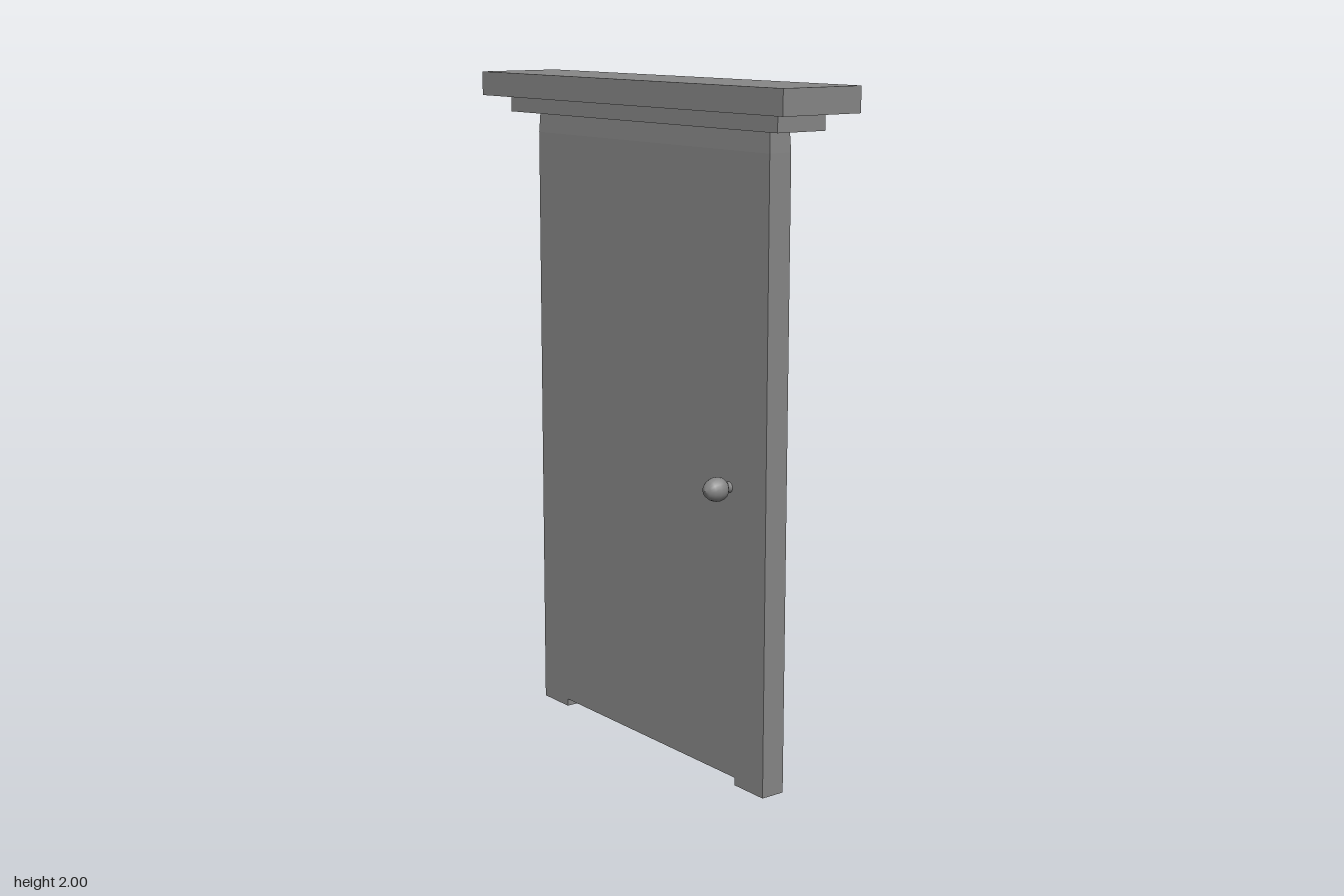
import * as THREE from 'three';

export function createModel() {
  const model = new THREE.Group();
  const darkGrey = new THREE.MeshStandardMaterial({ color: 0x878787 });

  const add = (name, geometry, x = 0, y = 0) => {
    const mesh = new THREE.Mesh(geometry, darkGrey);
    mesh.name = name;
    mesh.position.set(x, y, 0);
    model.add(mesh);
    return mesh;
  };
  // Box given by width, bottom, top and depth
  const slab = (name, width, bottom, top, depth, x = 0) =>
    add(name, new THREE.BoxGeometry(width, top - bottom, depth), x, (top + bottom) / 2);

  // Frame: two posts and a lintel that narrows slightly towards its top
  slab('leftPost', 0.126, 0, 1.82, 0.075, 0.484);
  slab('rightPost', 0.126, 0, 1.82, 0.075, -0.484);
  const lintel = slab('lintel', 1.094, 1.82, 1.88, 0.075).geometry;
  const corners = lintel.attributes.position;
  for (let i = 0; i < corners.count; i++) {
    if (corners.getY(i) > 0) {
      corners.setX(i, corners.getX(i) * 0.994);
      corners.setZ(i, corners.getZ(i) * 0.92);
    }
  }
  lintel.computeVertexNormals();

  // Door leaf, raised slightly off the ground
  slab('doorPanel', 0.842, 0.023, 1.82, 0.075);

  // Stepped cornice
  slab('lowerCornice', 1.262, 1.88, 1.928, 0.166);
  slab('upperCornice', 1.424, 1.928, 2, 0.27);

  // Turned knobs on both faces; profile is [radius, distance from door centre]
  const profile = [
    [0.018, 0.03], [0.015, 0.042], [0.016, 0.052], [0.024, 0.056], [0.031, 0.064],
    [0.035, 0.077], [0.034, 0.091], [0.028, 0.106], [0.018, 0.118], [0, 0.124],
  ].map(([r, d]) => new THREE.Vector2(r, d));
  const knobGeometry = new THREE.LatheGeometry(profile, 20);
  for (const side of [1, -1]) {
    const knob = add(side > 0 ? 'frontKnob' : 'backKnob', knobGeometry, 0.386, 0.878);
    knob.rotation.x = side * Math.PI / 2;
  }

  return model;
}
